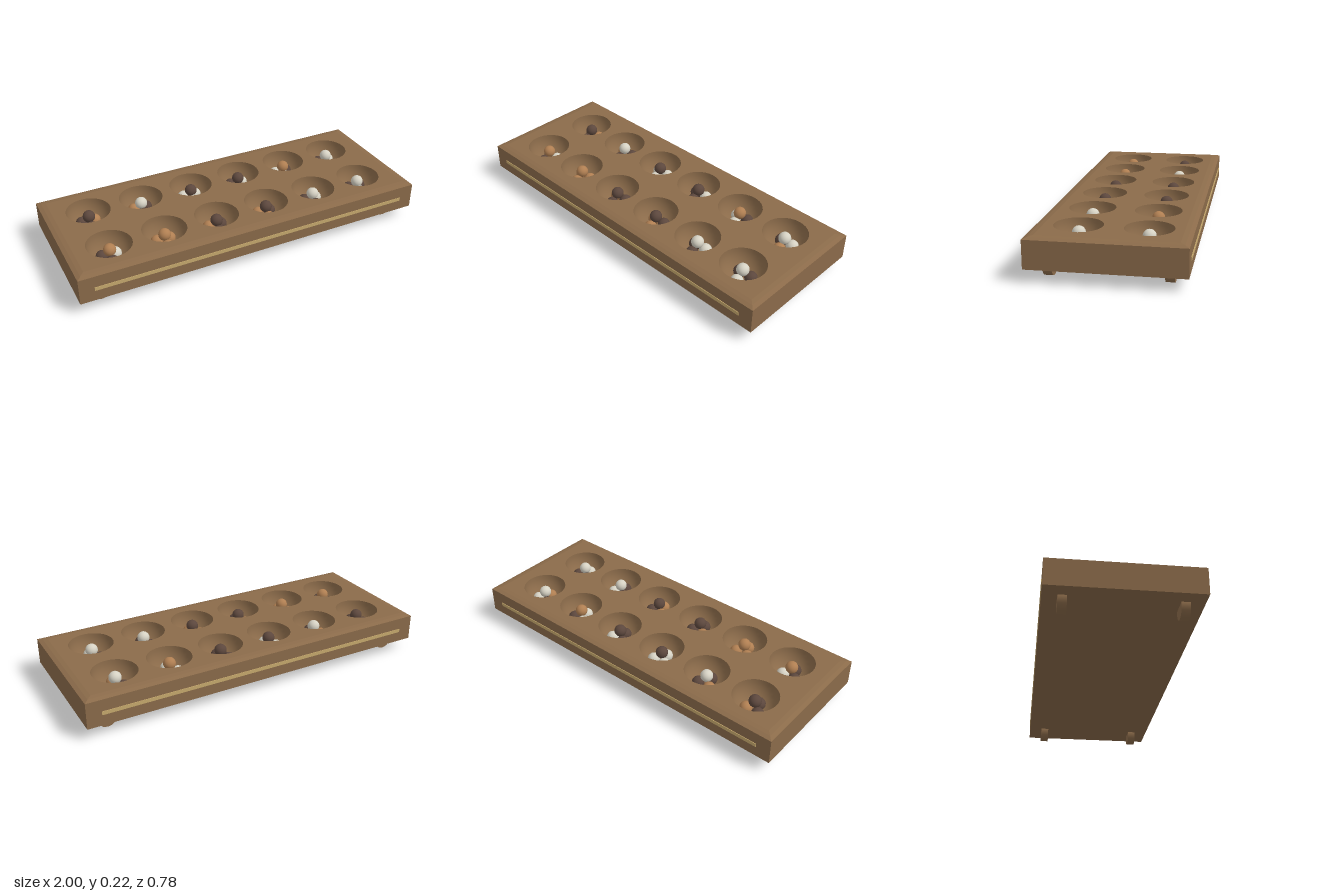
import * as THREE from 'three';

const material = (name, color, side = THREE.FrontSide) => {
  const m = new THREE.MeshStandardMaterial({ color, side });
  m.name = name;
  return m;
};

const HALF_X = 1, HALF_Z = 0.386;
const BASE_Y = 0.066, TOP_Y = 0.222, INSET = 0.045;
const PIT_R = 0.122, PIT_FLOOR = 0.092;
const PIT_SPACING = 0.306, ROW_Z = 0.172;

// Loft rectangular rings, each given as [inset, y], from bottom to top, with a closed underside
function rectLoft(rings) {
  const corners = rings.map(([d, y]) =>
    [[1, 1], [1, -1], [-1, -1], [-1, 1]].map(([sx, sz]) => [sx * (HALF_X - d), y, sz * (HALF_Z - d)]));
  const pos = [];
  const quad = (a, b, c, d) => pos.push(...a, ...b, ...c, ...a, ...c, ...d);
  for (let i = 0; i + 1 < corners.length; i++) {
    for (let k = 0; k < 4; k++) {
      const n = (k + 1) % 4;
      quad(corners[i][k], corners[i][n], corners[i + 1][n], corners[i + 1][k]);
    }
  }
  const [a, b, c, d] = corners[0];
  quad(d, c, b, a);
  const g = new THREE.BufferGeometry();
  g.setAttribute('position', new THREE.Float32BufferAttribute(pos, 3));
  g.computeVertexNormals();
  return g;
}

export function createModel() {
  const group = new THREE.Group();
  group.name = 'pitAndBeadBoard';

  const wood = material('wood', 0x8b6b4a);
  const bowlWood = wood.clone();
  bowlWood.side = THREE.DoubleSide;
  const inlay = material('pale inlay', 0xc8aa6e);
  const beadMaterials = {
    w: material('white bead', 0xd6d2c4),
    t: material('tan bead', 0xb07f52),
    d: material('dark bead', 0x5c473d),
  };

  const add = (name, geometry, mat, x = 0, y = 0, z = 0, parent = group) => {
    const mesh = new THREE.Mesh(geometry, mat);
    mesh.name = name;
    mesh.position.set(x, y, z);
    parent.add(mesh);
    return mesh;
  };

  // Board sides, underside and softened upper edge
  add('boardBody', rectLoft([
    [0, BASE_Y], [0, 0.21], [0.022, 0.218], [INSET, TOP_Y],
  ]), wood);

  // Top face with twelve round openings
  const w = HALF_X - INSET, h = HALF_Z - INSET;
  const top = new THREE.Shape();
  top.moveTo(-w, -h).lineTo(w, -h).lineTo(w, h).lineTo(-w, h).closePath();
  const pits = [];
  for (const z of [-ROW_Z, ROW_Z]) {
    for (let i = 0; i < 6; i++) pits.push([(i - 2.5) * PIT_SPACING, z]);
  }
  for (const [x, z] of pits) {
    const hole = new THREE.Path();
    hole.absarc(x, -z, PIT_R, 0, Math.PI * 2, true);
    top.holes.push(hole);
  }
  add('boardTop', new THREE.ShapeGeometry(top, 16).rotateX(-Math.PI / 2), wood, 0, TOP_Y, 0);

  // Rounded bowl, shared by every pit
  const profile = [];
  for (let i = 0; i <= 10; i++) {
    const a = (i / 10) * Math.PI / 2;
    profile.push(new THREE.Vector2(PIT_R * Math.sin(a), TOP_Y - (TOP_Y - PIT_FLOOR) * Math.cos(a)));
  }
  const bowl = new THREE.LatheGeometry(profile, 32);

  // Four beads per pit: left, right, front and one resting on top
  const bead = new THREE.SphereGeometry(0.034, 20, 14);
  const beadSpots = [[-0.036, 0.135, -0.025], [0.036, 0.135, -0.025], [0, 0.135, 0.042], [0, 0.183, 0]];
  const beadColours = [
    'dtdd', 'tddw', 'wwwd', 'dwdd', 'wdwt', 'dwtw',
    'dwdt', 'tttt', 'tddd', 'tdtd', 'dwdw', 'ddww',
  ];
  pits.forEach(([x, z], i) => {
    const pit = new THREE.Group();
    pit.name = 'pit';
    pit.position.set(x, 0, z);
    group.add(pit);
    add('pitBowl', bowl, bowlWood, 0, 0, 0, pit);
    beadSpots.forEach((p, k) => add('bead', bead, beadMaterials[beadColours[i][k]], ...p, pit));
  });

  // Inlaid strips on the front and back
  const strip = new THREE.BoxGeometry(1.84, 0.02, 0.008);
  for (const s of [-1, 1]) add('inlayStrip', strip, inlay, 0, 0.135, s * (HALF_Z - 0.001));

  // Round feet lying along z, partly sunk in the board
  const foot = new THREE.CylinderGeometry(0.053, 0.053, 0.045, 24).rotateX(Math.PI / 2);
  for (const sx of [-1, 1]) {
    for (const sz of [-1, 1]) add('foot', foot, wood, sx * 0.87, 0.053, sz * 0.29);
  }

  return group;
}
